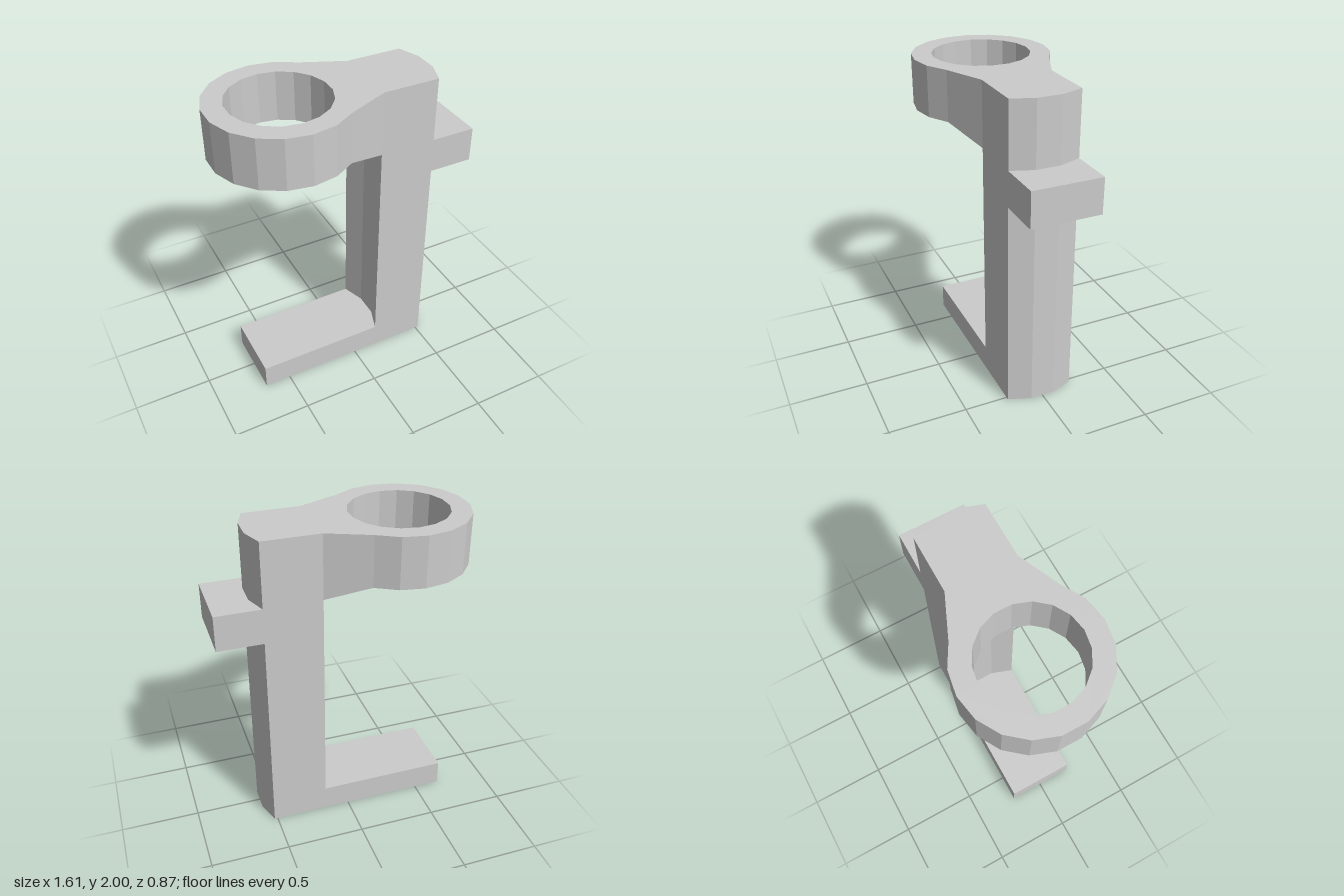
import * as THREE from 'three';

const material = new THREE.MeshStandardMaterial({ color: 0xcccccc, flatShading: true });
const RING_X = -0.38, RING_R = 0.435, HOLE_R = 0.31, HALF = 0.22;
const UNDER = 1.68, TAB_TOP = 1.59, TAB_BOTTOM = 1.365;

// Points on the 18-sided ring, angles in degrees
const arc = (r, from, to) => {
  const pts = [];
  for (let a = from; a <= to; a += 20) {
    const t = THREE.MathUtils.degToRad(a);
    pts.push(new THREE.Vector2(RING_X + r * Math.cos(t), r * Math.sin(t)));
  }
  return pts;
};
const v = (x, y) => new THREE.Vector2(x, y);

// Bowed end of the column, running from -z side to +z side
const bow = (x) => [v(x, -HALF), v(x + 0.05, -0.077), v(x + 0.05, 0.077), v(x, HALF)];

// Upright extrusion of a plan outline between two heights
function prism(name, outline, y0, y1, hole) {
  const shape = new THREE.Shape(outline);
  if (hole) shape.holes.push(new THREE.Path(hole));
  const geometry = new THREE.ExtrudeGeometry(shape, { depth: y1 - y0, bevelEnabled: false });
  geometry.rotateX(-Math.PI / 2).translate(0, y0, 0);
  const mesh = new THREE.Mesh(geometry, material);
  mesh.name = name;
  return mesh;
}

// Sloping underside that blends the ring into the column
function gusset() {
  const upper = [[0.16, HALF], [-0.1, 0.333], [-0.181, 0.237], [-0.112, 0.155], [-0.075, 0.054]];
  const lower = [[0.16, HALF], [0.16, HALF], [0.16, HALF], [0.16, HALF], [0.21, 0.077]];
  const mirrored = (row) => row.concat(row.slice().reverse().map(([x, z]) => [x, -z]));
  const top = mirrored(upper).map(([x, z]) => [x, UNDER, z]);
  const bottom = mirrored(lower).map(([x, z]) => [x, TAB_TOP, z]);
  const positions = [];
  for (let i = 0; i < top.length - 1; i++) {
    positions.push(...top[i], ...top[i + 1], ...bottom[i]);
    if (bottom[i][2] !== bottom[i + 1][2]) {
      positions.push(...top[i + 1], ...bottom[i + 1], ...bottom[i]);
    }
  }
  const geometry = new THREE.BufferGeometry();
  geometry.setAttribute('position', new THREE.Float32BufferAttribute(positions, 3));
  geometry.computeVertexNormals();
  const side = material.clone();
  side.side = THREE.DoubleSide;
  const mesh = new THREE.Mesh(geometry, side);
  mesh.name = 'gusset';
  return mesh;
}

export function createModel() {
  const group = new THREE.Group();
  group.name = 'ringBracket';

  // Ring, neck and column top in one plan outline
  const head = [...bow(0.52), v(0.16, HALF), ...arc(RING_R, 50, 310), v(0.16, -HALF)];
  group.add(prism('ringHead', head, UNDER, 2, arc(HOLE_R, 10, 350)));
  group.add(gusset());

  // Column with hollowed inner face and bowed outer face
  group.add(prism('column', [...bow(0.52), ...bow(0.16).reverse()], 0, UNDER));

  // Foot plate and outer tab, shaped to meet the column faces
  group.add(prism('footPlate', [v(-0.67, -HALF), ...bow(0.16), v(-0.67, HALF)], 0, 0.165));
  group.add(prism('tab', [v(0.805, HALF), ...bow(0.52).reverse(), v(0.805, -HALF)], TAB_BOTTOM, TAB_TOP));

  return group;
}
